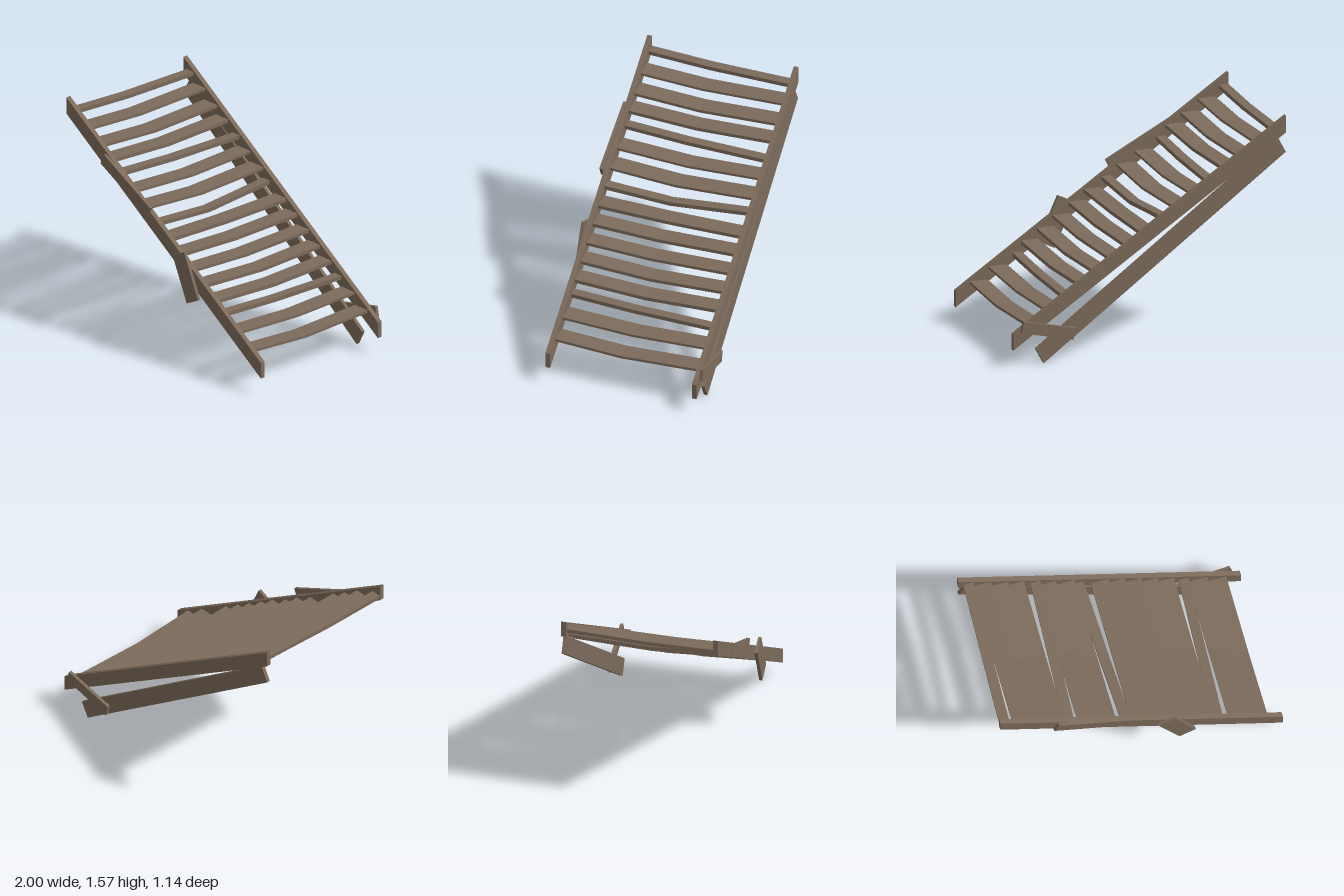
import * as THREE from 'three';

const wood = new THREE.MeshStandardMaterial({ color: 0x7c6b5b });
wood.name = 'weathered wood';

// Flat board: outline in x/y, extruded from z0 to z1
function board(name, points, z0, z1) {
  const shape = new THREE.Shape(points.map(([x, y]) => new THREE.Vector2(x, y)));
  const geometry = new THREE.ExtrudeGeometry(shape, { depth: z1 - z0, bevelEnabled: false });
  geometry.translate(0, 0, z0);
  const mesh = new THREE.Mesh(geometry, wood);
  mesh.name = name;
  return mesh;
}

// Sagging tread between the rails, with x centre at each end, width, height, thickness and sag
function tread([xBack, xFront, width, top, thick, sag, zSag]) {
  const half = 0.516;
  const box = new THREE.BoxGeometry(1, 1, 1, 1, 1, 2);
  const p = box.attributes.position;
  for (let i = 0; i < p.count; i++) {
    const u = p.getZ(i);
    const middle = Math.abs(u) < 0.1;
    const z = middle ? zSag : Math.sign(u) * half;
    const x = THREE.MathUtils.lerp(xBack, xFront, (z + half) / (2 * half)) + p.getX(i) * width;
    const y = top - (middle ? sag : 0) - (p.getY(i) > 0 ? 0 : thick);
    p.setXYZ(i, x, y, z);
  }
  const geometry = box.toNonIndexed();
  geometry.computeVertexNormals();
  return new THREE.Mesh(geometry, wood);
}

export function createModel() {
  const model = new THREE.Group();
  model.name = 'brokenStaircase';

  // Side rails with upright cut ends
  const rail = [[-1, 1.45], [1, 0.122], [1, 0.237], [-1, 1.57]];
  model.add(board('frontRail', rail, 0.515, 0.55));
  model.add(board('backRail', rail, -0.55, -0.515));

  // Loose beam hanging below the back rail
  model.add(board('lowerBeam', [[-1, 1.31], [0.775, 0.005], [0.832, 0.112], [-0.942, 1.42]], -0.545, -0.52));

  // Patches nailed across the rails
  model.add(board('upperPatch', [[-0.625, 1.207], [-0.15, 0.963], [-0.115, 1.035], [-0.588, 1.282]], 0.55, 0.572));
  model.add(board('middlePatch', [[0.262, 0.45], [0.378, 0.508], [0.235, 0.82], [0.115, 0.765]], 0.55, 0.572));
  model.add(board('backPatch', [[0.567, 0.158], [0.948, 0.245], [0.932, 0.325], [0.55, 0.238]], -0.573, -0.55));

  // Treads, from the top down; the narrow ones are skewed
  const treads = [
    [-0.93, -0.962, 0.07, 1.49, 0.028, 0.011, 0.06],
    [-0.835, -0.837, 0.13, 1.41, 0.018, 0.02, 0.07],
    [-0.717, -0.717, 0.135, 1.323, 0.021, 0.024, 0.04],
    [-0.6, -0.6, 0.125, 1.252, 0.025, 0.021, 0.02],
    [-0.455, -0.503, 0.07, 1.173, 0.028, 0.01, 0.06],
    [-0.375, -0.375, 0.13, 1.091, 0.018, 0.024, 0],
    [-0.247, -0.247, 0.14, 1.013, 0.019, 0.028, 0.04],
    [-0.149, -0.102, 0.07, 0.935, 0.029, 0.037, 0.05],
    [0, 0, 0.125, 0.858, 0.026, 0.008, 0.02],
    [0.112, 0.112, 0.125, 0.781, 0.025, 0.015, 0.04],
    [0.23, 0.23, 0.125, 0.7, 0.022, 0.017, 0.05],
    [0.345, 0.345, 0.125, 0.622, 0.024, 0.023, 0],
    [0.46, 0.46, 0.125, 0.544, 0.026, 0.021, 0],
    [0.592, 0.551, 0.068, 0.465, 0.029, 0.009, 0.06],
    [0.693, 0.693, 0.135, 0.386, 0.018, 0.021, 0],
    [0.83, 0.832, 0.13, 0.295, 0.019, 0.026, 0.04],
  ];
  const steps = new THREE.Group();
  steps.name = 'treads';
  treads.forEach((t, i) => {
    const mesh = tread(t);
    mesh.name = `tread${i + 1}`;
    steps.add(mesh);
  });
  model.add(steps);
  return model;
}
